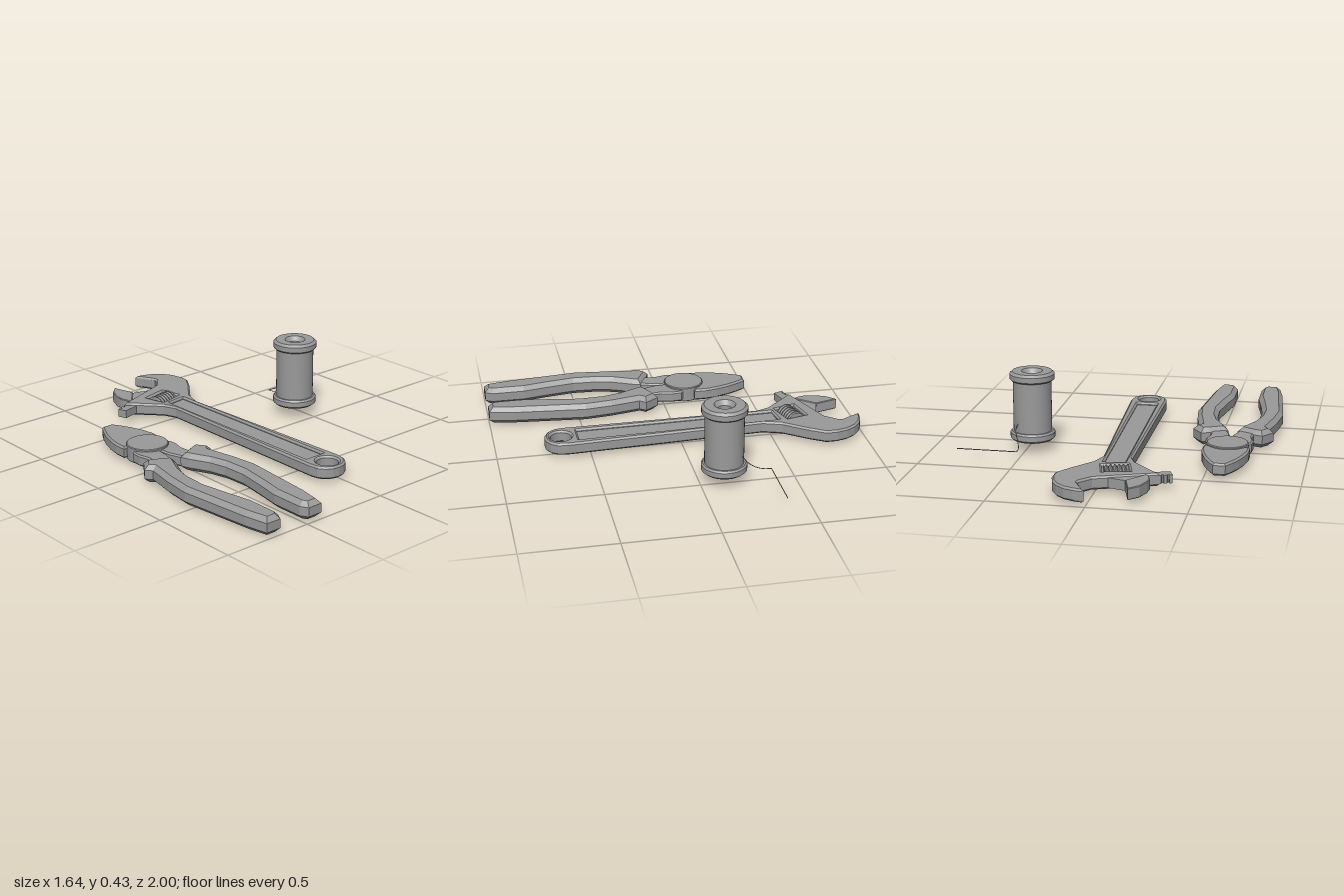
import * as THREE from 'three';
import { toCreasedNormals } from 'three/addons/utils/BufferGeometryUtils.js';

const material = new THREE.MeshStandardMaterial({ color: 0x9a9a9a, side: THREE.DoubleSide });

function part(name, geometry) {
  const mesh = new THREE.Mesh(geometry, material);
  mesh.name = name;
  return mesh;
}

// Plan points are [x, z]; a shape's y axis is minus z.
const toVectors = (points) => points.map(([x, z]) => new THREE.Vector2(x, -z));

function circle(x, z, r, n = 32) {
  return Array.from({ length: n }, (_, i) => {
    const a = (i / n) * Math.PI * 2;
    return [x + r * Math.cos(a), z + r * Math.sin(a)];
  });
}

// A flat plate between heights y0 and y1 with chamfered rims.
// Outline and holes run clockwise seen from above, so hole rims flare outwards.
function plate(name, points, y0, y1, bevel, holes = []) {
  const shape = new THREE.Shape(toVectors(points));
  holes.forEach((hole) => shape.holes.push(new THREE.Path(toVectors(hole).reverse())));
  const geometry = new THREE.ExtrudeGeometry(shape, {
    depth: y1 - y0 - 2 * bevel,
    bevelEnabled: bevel > 0,
    bevelThickness: bevel,
    bevelSize: bevel,
    bevelOffset: -bevel,
    bevelSegments: 1,
  });
  geometry.rotateX(-Math.PI / 2);
  geometry.translate(0, y0 + bevel, 0);
  return part(name, geometry);
}

function createPliers() {
  const pliers = new THREE.Group();
  pliers.name = 'pliers';
  pliers.position.x = -0.583;

  // Each jaw passes the middle by its chamfer, so the flat faces meet
  const jaw = [[0.01, -0.483], [-0.032, -0.483], [-0.06, -0.435], [-0.088, -0.375], [-0.112, -0.3],
    [-0.123, -0.24], [-0.123, -0.172], [-0.07, -0.172], [-0.06, -0.11], [0.01, -0.11]];
  const neck = [[-0.123, -0.095], [-0.06, -0.15], [-0.001, -0.12], [-0.001, -0.02], [-0.008, 0.045],
    [-0.04, 0.14], [-0.12, 0.1], [-0.112, 0.02], [-0.127, -0.04]];
  const grip = [[-0.165, 0.05], [-0.122, 0.065], [-0.025, 0.115], [-0.04, 0.16], [-0.09, 0.265],
    [-0.114, 0.36], [-0.12, 0.49], [-0.095, 0.65], [-0.07, 0.78], [-0.07, 0.96],
    [-0.092, 1], [-0.175, 1], [-0.2, 0.87], [-0.239, 0.47], [-0.222, 0.32],
    [-0.19, 0.16], [-0.218, 0.125]];

  for (const [side, s] of [['right', 1], ['left', -1]]) {
    const mirrored = (points) => points.map(([x, z]) => [x * s, z]);
    pliers.add(
      plate(`${side}Jaw`, mirrored(jaw), 0.025, 0.09, 0.01),
      plate(`${side}Neck`, mirrored(neck), 0.028, 0.088, 0.008),
      plate(`${side}Grip`, mirrored(grip), 0.012, 0.108, 0.024),
    );
  }
  pliers.add(plate('pivotDisc', circle(0, -0.13, 0.11), 0.017, 0.1, 0.004));
  return pliers;
}

// Worm screw: a zigzag lathe sheared into a helix, then laid on its side.
function wormScrew() {
  const length = 0.13, turns = 6, pitch = length / turns;
  const profile = [new THREE.Vector2(0.001, -length / 2)];
  for (let i = -1; i <= turns; i++) {
    const y = -length / 2 + i * pitch;
    [[0.037, 0], [0.052, 0.35], [0.052, 0.6], [0.037, 0.95]].forEach(([r, t]) =>
      profile.push(new THREE.Vector2(r, y + t * pitch)));
  }
  profile.push(new THREE.Vector2(0.001, length / 2));
  const geometry = new THREE.LatheGeometry(profile, 28);
  const p = geometry.attributes.position;
  const rows = profile.length;
  for (let i = 0; i < p.count; i++) {
    const y = p.getY(i) + (Math.floor(i / rows) / 28) * pitch;
    p.setY(i, THREE.MathUtils.clamp(y, -length / 2, length / 2));
  }
  geometry.rotateZ(-Math.PI / 2);
  geometry.rotateY(0.25);
  geometry.translate(-0.088, 0.053, -0.634);
  return part('wormScrew', toCreasedNormals(geometry, 0.5));
}

function createWrench() {
  const wrench = new THREE.Group();
  wrench.name = 'adjustableWrench';
  wrench.position.x = 0.003;

  const body = [[0.002, -1], [0.06, -0.99], [0.11, -0.97], [0.155, -0.93], [0.185, -0.88], [0.2, -0.82],
    [0.2, -0.76], [0.15, -0.68], [0.05, -0.55], [0.016, -0.45], [0.068, 0.63],
    [0.06, 0.68], [0.035, 0.715], [0, 0.735], [-0.035, 0.74], [-0.07, 0.735], [-0.105, 0.715],
    [-0.13, 0.68], [-0.138, 0.63], [-0.138, -0.45], [-0.165, -0.52], [-0.27, -0.635],
    [-0.315, -0.685], [0.0, -0.805], [0.055, -0.87], [0.058, -0.885]];
  const slot = [[-0.165, -0.672], [-0.03, -0.705], [-0.005, -0.597], [-0.135, -0.56]];
  const recess = [[-0.112, -0.53], [-0.008, -0.546], [0.018, 0.56], [-0.094, 0.56]];
  const eye = circle(-0.035, 0.653, 0.058);
  wrench.add(
    plate('body', body, 0.022, 0.09, 0.01, [slot, recess, eye]),
    plate('handleWeb', recess, 0.036, 0.076, 0),
  );

  // Sliding jaw: a tooth, a lower shoulder behind it and the toothed rack
  const tooth = [[-0.2, -0.93], [-0.165, -0.805], [-0.25, -0.7], [-0.268, -0.715],
    [-0.28, -0.76], [-0.275, -0.81], [-0.25, -0.88]];
  const shoulder = [[-0.17, -0.805], [-0.075, -0.777], [-0.12, -0.74], [-0.25, -0.69], [-0.25, -0.72]];
  wrench.add(
    plate('slidingJawTooth', tooth, 0.025, 0.086, 0.004),
    plate('slidingJawShoulder', shoulder, 0.029, 0.082, 0),
  );

  const rack = [[-0.09, -0.735], [-0.1, -0.68], [-0.36, -0.612], [-0.378, -0.66]];
  for (let i = 0; i < 4; i++) {
    const x = -0.378 + i * 0.0278, z = -0.662 - i * 0.0098;
    rack.push([x + 0.014, z - 0.005], [x + 0.018, z + 0.006], [x + 0.025, z + 0.004], [x + 0.0278, z - 0.0098]);
  }
  wrench.add(plate('rack', rack, 0.034, 0.078, 0), wormScrew());
  return wrench;
}

function createSpool() {
  const spool = new THREE.Group();
  spool.name = 'threadSpool';

  // Hollow spool with chamfered flanges
  const profile = [[0.056, 0.06], [0.106, 0.06], [0.12, 0.072], [0.12, 0.1], [0.112, 0.11], [0.103, 0.11],
    [0.103, 0.386], [0.112, 0.386], [0.12, 0.394], [0.12, 0.422], [0.106, 0.435], [0.056, 0.435],
    [0.038, 0.41], [0.038, 0.085], [0.056, 0.06]];
  const lathe = new THREE.LatheGeometry(profile.map(([r, y]) => new THREE.Vector2(r, y)), 40);
  lathe.translate(0.468, 0, -0.13);
  spool.add(part('reel', toCreasedNormals(lathe, 0.5)));

  // Loose end hanging off the reel and running out straight
  const bend = new THREE.CatmullRomCurve3([[0.528, 0.16, -0.212], [0.536, 0.13, -0.235], [0.513, 0.085, -0.285],
    [0.498, 0.062, -0.33], [0.497, 0.057, -0.376]].map((p) => new THREE.Vector3(...p)));
  const run = new THREE.LineCurve3(new THREE.Vector3(0.496, 0.057, -0.376), new THREE.Vector3(0.82, 0.057, -0.376));
  spool.add(
    part('hangingThread', new THREE.TubeGeometry(bend, 32, 0.002, 6)),
    part('straightThread', new THREE.TubeGeometry(run, 1, 0.0025, 6)),
  );
  return spool;
}

export function createModel() {
  const model = new THREE.Group();
  model.name = 'handTools';
  model.add(createPliers(), createWrench(), createSpool());
  return model;
}
